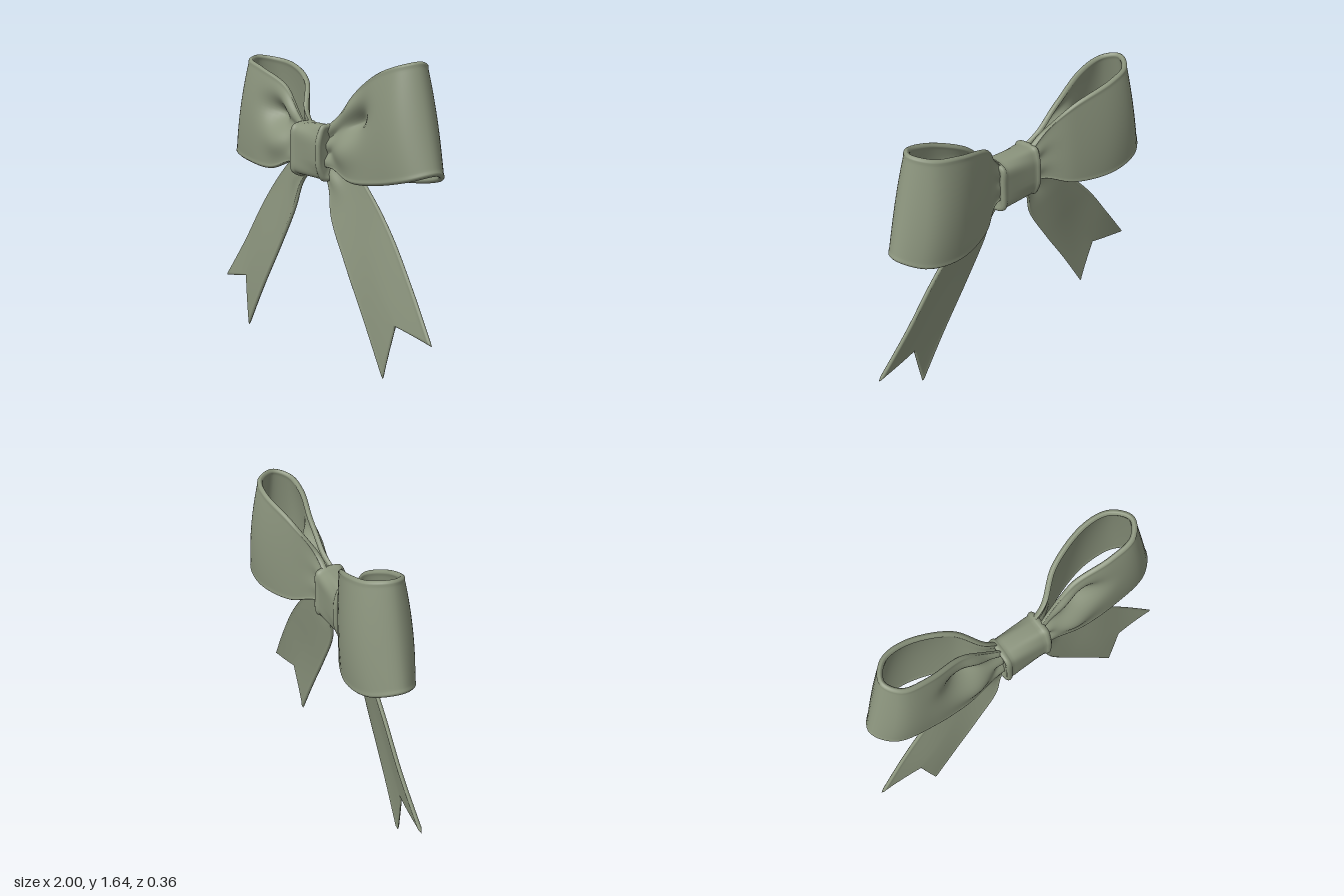
import * as THREE from 'three';

const fabric = new THREE.MeshStandardMaterial({ color: 0x8b947d });
fabric.name = 'sage fabric';

const bump = (a, b, a0, b0, ra, rb) => Math.exp(-(((a - a0) / ra) ** 2) - ((b - b0) / rb) ** 2);

// Joins equal rings of points into a smooth, closed tube of quads
function skin(rings) {
  const n = rings[0].length, pos = [], idx = [];
  rings.forEach(r => r.forEach(p => pos.push(p.x, p.y, p.z)));
  for (let i = 0; i < rings.length - 1; i++) {
    for (let j = 0; j < n; j++) {
      const k = (j + 1) % n;
      const a = i * n + j, b = a + n, c = i * n + k, d = c + n;
      idx.push(a, b, c, b, d, c);
    }
  }
  const g = new THREE.BufferGeometry();
  g.setAttribute('position', new THREE.Float32BufferAttribute(pos, 3));
  g.setIndex(idx);
  g.computeVertexNormals();
  return g;
}

// Thickens a sheet surf(u, w) into cloth with rounded, slightly beaded hems
function cloth(surf, nu, nw, half) {
  const ease = t => (1 - Math.cos(Math.PI * t)) / 2;
  const e = 0.002, rings = [];
  for (let i = 0; i <= nu; i++) {
    const u = ease(i / nu), front = [], back = [];
    for (let j = 0; j <= nw; j++) {
      const w = ease(j / nw);
      const su = surf(Math.min(1, u + e), w).sub(surf(Math.max(0, u - e), w));
      const sw = surf(u, Math.min(1, w + e)).sub(surf(u, Math.max(0, w - e)));
      const n = su.cross(sw).normalize();
      const d = Math.min(w, 1 - w), du = Math.min(u, 1 - u);
      const h = half * Math.sqrt(Math.min(1, d / 0.02)) * Math.sqrt(Math.min(1, du / 0.01))
        * (1 + 0.25 * Math.exp(-(((d - 0.025) / 0.016) ** 2)));
      const p = surf(u, w);
      front.push(p.clone().addScaledVector(n, h));
      if (j > 0 && j < nw) back.unshift(p.clone().addScaledVector(n, -h));
    }
    rings.push([...front, ...back]);
  }
  return skin(rings);
}

// Two edge curves from rows of [x, y, z of one edge, x, y, z of the other]
function edges(rows) {
  const curve = o => new THREE.CatmullRomCurve3(rows.map(r => new THREE.Vector3(r[o], r[o + 1], r[o + 2])));
  return [curve(0), curve(3)];
}

// Loop: lower and upper edge, from the knot round the back to the front
const loopEdges = edges([
  [0.08, 1.05, 0.04, 0.08, 1.24, 0.04],
  [0.20, 1.05, 0.01, 0.19, 1.35, 0.02],
  [0.35, 1.00, -0.08, 0.32, 1.50, -0.07],
  [0.60, 0.995, -0.155, 0.55, 1.59, -0.13],
  [0.80, 1.03, -0.13, 0.69, 1.62, -0.105],
  [0.90, 1.075, -0.01, 0.755, 1.635, -0.01],
  [0.82, 1.045, 0.095, 0.70, 1.615, 0.07],
  [0.60, 1.005, 0.13, 0.55, 1.57, 0.085],
  [0.38, 0.995, 0.13, 0.34, 1.47, 0.05],
  [0.20, 1.05, 0.11, 0.20, 1.33, 0.06],
  [0.08, 1.06, 0.10, 0.08, 1.24, 0.09],
]);

function loopSurface(side) {
  return (u, w) => {
    const p = loopEdges[0].getPoint(u).lerp(loopEdges[1].getPoint(u), w);
    // Both faces belly outwards between the hems
    const belly = 4 * w * (1 - w);
    p.z += 0.024 * belly * (bump(u, 0, 0.67, 0, 0.12, 1) - bump(u, 0, 0.33, 0, 0.12, 1));
    // Puckers: a hollow above a swelling on the front, pleats at the knot
    p.z += 0.045 * bump(u, w, 0.83, 0.34, 0.07, 0.2);
    p.z -= 0.07 * bump(u, w, 0.79, 0.64, 0.05, 0.13);
    p.z += 0.025 * bump(u, w, 0.84, 0.86, 0.06, 0.1);
    const nearKnot = bump(u, 0, 0.94, 0, 0.05, 1) + 0.4 * bump(u, 0, 0.06, 0, 0.06, 1);
    p.z += 0.012 * nearKnot * Math.sin(w * Math.PI * 5);
    p.x *= side;
    return p;
  };
}

// Tail: inner and outer edge, from the knot down to the forked end
const tailEdges = edges([
  [0.06, 1.03, 0.07, 0.06, 1.14, 0.05],
  [0.135, 0.93, 0.09, 0.30, 1.05, 0.04],
  [0.18, 0.78, 0.112, 0.45, 0.93, 0.04],
  [0.32, 0.545, 0.12, 0.62, 0.75, 0.043],
  [0.50, 0.27, 0.125, 0.80, 0.51, 0.055],
  [0.665, 0.00, 0.128, 1.00, 0.245, 0.085],
]);

function tailSurface(side) {
  return (u, w) => {
    const p = tailEdges[0].getPoint(u).lerp(tailEdges[1].getPoint(u), w);
    // Fork cut into the end
    const cut = u ** 5 * (1 - Math.abs(2 * w - 1));
    p.x -= 0.10 * cut;
    p.y += 0.17 * cut;
    // Gentle ripples and creases below the knot
    p.z += 0.008 * Math.sin(u * 9 + w * 2) * Math.sin(Math.PI * w);
    p.z += 0.012 * bump(u, w, 0.17, 0.3, 0.1, 0.15);
    p.x *= side;
    return p;
  };
}

// Knot: a band round the middle with a rolled rim on each side
function knotGeometry() {
  const half = [[0, 0], [0.05, 0], [0.09, 0.001], [0.108, 0], [0.114, 0.006], [0.125, 0.010],
    [0.136, 0.008], [0.144, 0], [0.143, -0.012], [0.134, -0.03], [0.127, -0.08]];
  const profile = [...half.slice(1).reverse().map(([x, o]) => [-x, o]), ...half];
  const soft = v => Math.sign(v) * Math.abs(v) ** 0.55;
  return skin(profile.map(([x, o]) => {
    const ring = [];
    for (let k = 0; k < 64; k++) {
      const a = k / 64 * Math.PI * 2;
      const crease = 0.003 * Math.sin(a * 5 + x * 14);
      const y = 1.13 + (0.146 + o + crease) * soft(Math.sin(a));
      const z = 0.077 + (0.088 + o + crease) * soft(Math.cos(a)) - 0.04 * Math.max(0, y - 1.18);
      ring.push(new THREE.Vector3(x, y, z));
    }
    return ring;
  }));
}

export function createModel() {
  const bow = new THREE.Group();
  bow.name = 'ribbonBow';
  const add = (name, geometry) => {
    const mesh = new THREE.Mesh(geometry, fabric);
    mesh.name = name;
    bow.add(mesh);
  };
  for (const [label, side] of [['left', 1], ['right', -1]]) {
    add(label + 'Loop', cloth(loopSurface(side), 110, 44, 0.012));
    add(label + 'Tail', cloth(tailSurface(side), 60, 32, 0.009));
  }
  add('knot', knotGeometry());
  return bow;
}
